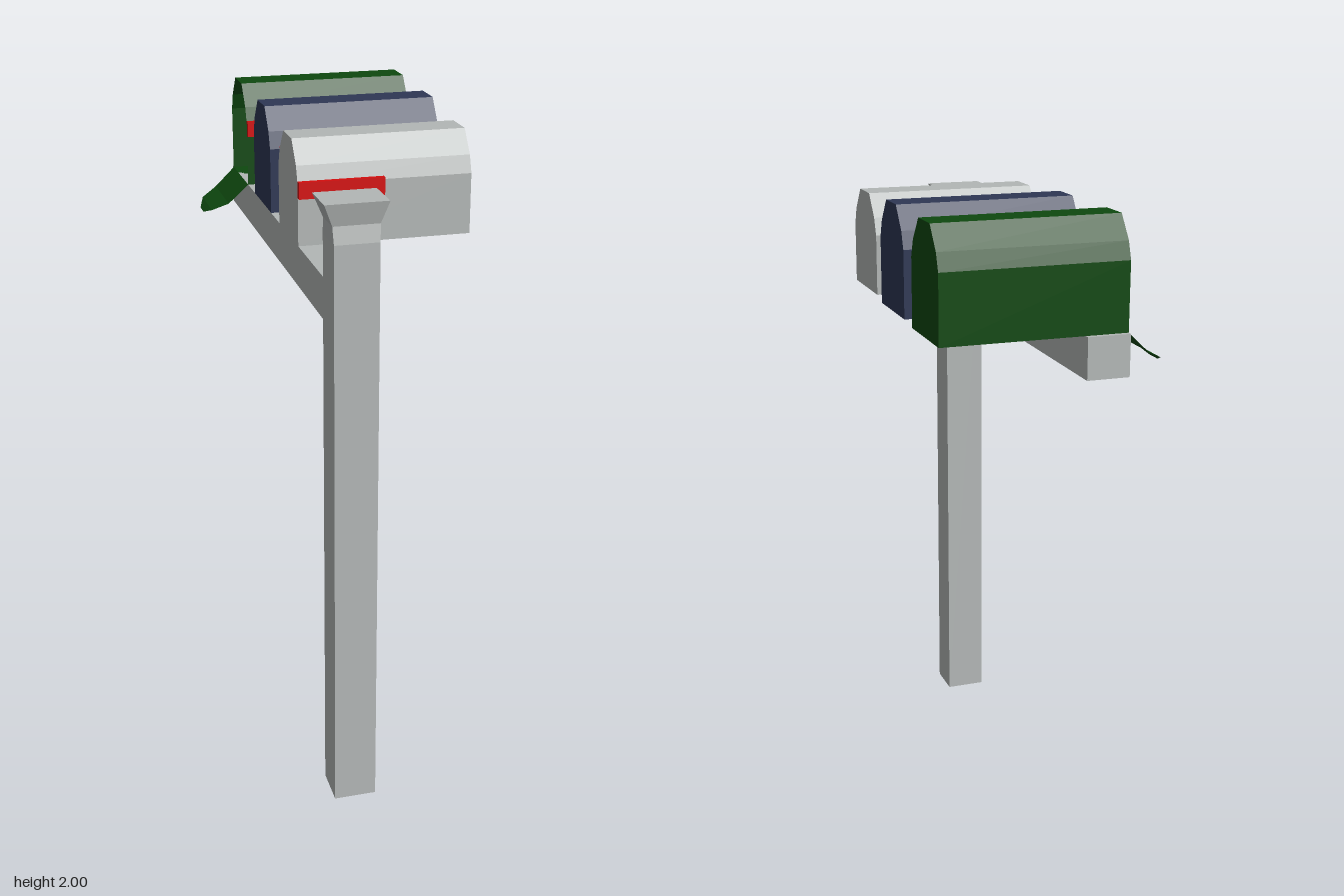
import * as THREE from 'three';

const mat = (name, color, side = THREE.FrontSide) => {
  const m = new THREE.MeshStandardMaterial({ color, side });
  m.name = name;
  return m;
};

// Flat-shaded skin through open or closed rows of points with equal counts.
function loft(rows, { closed = false, cap = false } = {}) {
  const pos = [];
  const tri = (...pts) => pts.forEach((p) => pos.push(...p));
  for (let r = 0; r < rows.length - 1; r++) {
    const a = rows[r], b = rows[r + 1], n = a.length;
    for (let i = 0; i < (closed ? n : n - 1); i++) {
      const j = (i + 1) % n;
      tri(a[i], a[j], b[j]);
      tri(a[i], b[j], b[i]);
    }
  }
  if (cap) {
    const t = rows[rows.length - 1];
    for (let i = 1; i < t.length - 1; i++) tri(t[0], t[i], t[i + 1]);
  }
  const g = new THREE.BufferGeometry();
  g.setAttribute('position', new THREE.Float32BufferAttribute(pos, 3));
  g.computeVertexNormals();
  return g;
}

// Arched mailbox section as [z, y] points, running from +z over the roof to -z.
function archSection(zc, w, base, top) {
  const half = [[w, base], [w, top - 0.12], [0.85 * w, top - 0.068], [0.42 * w, top]];
  return [...half, ...half.map(([z, y]) => [-z, y]).reverse()].map(([z, y]) => [zc + z, y]);
}

export function createModel() {
  const model = new THREE.Group();
  const grey = mat('grey', 0xb2b6b5, THREE.DoubleSide);
  const blue = mat('navy', 0x2e3754, THREE.DoubleSide);
  const green = mat('green', 0x0e480f, THREE.DoubleSide);
  const red = mat('red', 0xd40d0d);
  const add = (name, geo, material, parent = model) => {
    const m = new THREE.Mesh(geo, material);
    m.name = name;
    parent.add(m);
    return m;
  };
  const DECK = 1.675, BACK = -0.21;

  // Hollow post with a pinched neck and flared cap: [y, x0, x1, z0, z1]
  const rings = [
    [0, -0.21, -0.08, 0.575, 0.70],
    [1.80, -0.21, -0.08, 0.578, 0.70],
    [1.85, -0.212, -0.077, 0.588, 0.69],
    [1.915, -0.238, -0.055, 0.571, 0.706],
  ].map(([y, x0, x1, z0, z1]) => [[x0, y, z1], [x1, y, z1], [x1, y, z0], [x0, y, z0]]);
  add('post', loft(rings, { closed: true, cap: true }), grey);

  // Cross arm carrying the boxes
  add('arm', new THREE.BoxGeometry(0.13, 0.125, 1.285).translate(-0.145, 1.6125, -0.0665), grey);

  // Mailboxes, each with a signal flag on its +z side
  const boxes = [
    { name: 'greyMailbox', m: grey, z: 0.157, w: 0.126, x1: 0.322, top: 1.98, flag: [-0.21, 0.05, 1.82, 1.87, 1.775] },
    { name: 'navyMailbox', m: blue, z: -0.208, w: 0.122, x1: 0.34, top: 1.998, flag: [-0.18, 0.06, 1.82, 1.885, 1.82] },
    { name: 'greenMailbox', m: green, z: -0.568, w: 0.125, x1: 0.35, top: 2, flag: [-0.21, 0.02, 1.84, 1.89, 1.79], open: true },
  ];
  for (const b of boxes) {
    const box = new THREE.Group();
    box.name = b.name;
    model.add(box);
    const section = archSection(b.z, b.w, DECK, b.top);
    const row = (x) => section.map(([z, y]) => [x, y, z]);
    add('shell', loft([row(BACK), row(b.x1)], { closed: true, cap: true }), b.m, box);

    if (!b.open) {
      // Closed door, facing -x
      const shape = new THREE.Shape(section.map(([z, y]) => new THREE.Vector2(z, y)));
      add('door', new THREE.ShapeGeometry(shape).rotateY(-Math.PI / 2).translate(BACK, 0, 0), b.m, box);
    } else {
      // Door hanging open and bent downward: [x, y, half width]
      const rows = [[BACK, DECK, 0.123], [-0.277, 1.612, 0.118], [-0.33, 1.585, 0.087], [-0.349, 1.565, 0.028]]
        .map(([x, y, w]) => [[x, y, b.z + w], [x, y, b.z - w]]);
      add('openDoor', loft(rows), b.m, box);
    }

    // Flag: long bar with a short drop at its tip
    const [x0, x1, y0, y1, drop] = b.flag;
    const pts = drop < y0
      ? [[x0, y0], [x1 - 0.04, y0], [x1 - 0.04, drop], [x1, drop], [x1, y1], [x0, y1]]
      : [[x0, y0], [x1, y0], [x1, y1], [x0, y1]];
    const flag = new THREE.Shape(pts.map(([x, y]) => new THREE.Vector2(x, y)));
    add('flag', new THREE.ExtrudeGeometry(flag, { depth: 0.017, bevelEnabled: false })
      .translate(0, 0, b.z + b.w), red, box);
  }
  return model;
}
